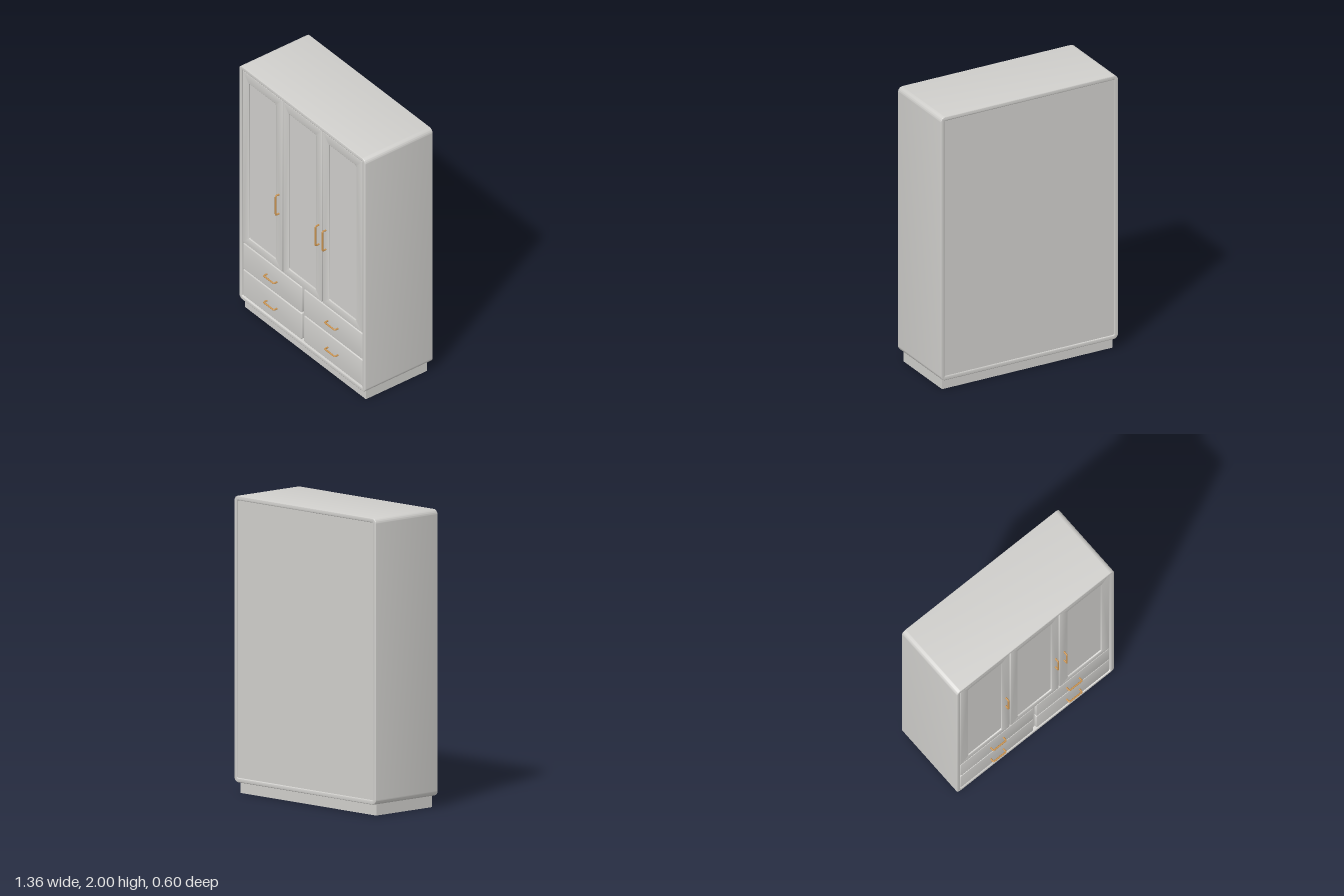
import * as THREE from 'three';
import { toCreasedNormals } from 'three/addons/utils/BufferGeometryUtils.js';

const paint = new THREE.MeshStandardMaterial({ color: 0xcfcecb });
paint.name = 'pale grey paint';
const brass = new THREE.MeshStandardMaterial({ color: 0xc8924f });
brass.name = 'brass';

// Rounded rectangle outline from corner to corner
function roundRect(path, x0, y0, x1, y1, r) {
  path.moveTo(x0 + r, y0);
  path.lineTo(x1 - r, y0);
  path.absarc(x1 - r, y0 + r, r, -Math.PI / 2, 0);
  path.lineTo(x1, y1 - r);
  path.absarc(x1 - r, y1 - r, r, 0, Math.PI / 2);
  path.lineTo(x0 + r, y1);
  path.absarc(x0 + r, y1 - r, r, Math.PI / 2, Math.PI);
  path.lineTo(x0, y0 + r);
  path.absarc(x0 + r, y0 + r, r, Math.PI, Math.PI * 1.5);
  return path;
}

// Bevelled board spanning z0..z1, with an optional opening
function board(name, outer, z0, z1, bevel, hole) {
  const shape = roundRect(new THREE.Shape(), ...outer);
  if (hole) shape.holes.push(roundRect(new THREE.Path(), ...hole));
  const geometry = new THREE.ExtrudeGeometry(shape, {
    depth: z1 - z0 - 2 * bevel, curveSegments: 8, bevelEnabled: true,
    bevelThickness: bevel, bevelSize: bevel, bevelOffset: -bevel, bevelSegments: 3,
  });
  geometry.translate(0, 0, z0 + bevel);
  const mesh = new THREE.Mesh(toCreasedNormals(geometry, 0.6), paint);
  mesh.name = name;
  return mesh;
}

function box(name, x0, x1, y0, y1, z0, z1) {
  const mesh = new THREE.Mesh(new THREE.BoxGeometry(x1 - x0, y1 - y0, z1 - z0), paint);
  mesh.position.set((x0 + x1) / 2, (y0 + y1) / 2, (z0 + z1) / 2);
  mesh.name = name;
  return mesh;
}

// Bent bar handle, horizontal unless turned upright
function handle(name, x, y, length, upright) {
  const h = length / 2 - 0.006, out = 0.031, r = 0.009;
  const v = (a, b) => new THREE.Vector3(a, 0, b);
  const path = new THREE.CurvePath();
  path.add(new THREE.LineCurve3(v(-h, -0.006), v(-h, out - r)));
  path.add(new THREE.QuadraticBezierCurve3(v(-h, out - r), v(-h, out), v(-h + r, out)));
  path.add(new THREE.LineCurve3(v(-h + r, out), v(h - r, out)));
  path.add(new THREE.QuadraticBezierCurve3(v(h - r, out), v(h, out), v(h, out - r)));
  path.add(new THREE.LineCurve3(v(h, out - r), v(h, -0.006)));
  const mesh = new THREE.Mesh(new THREE.TubeGeometry(path, 80, 0.006, 10), brass);
  mesh.position.set(x, y, 0.26);
  if (upright) mesh.rotation.z = Math.PI / 2;
  mesh.name = name;
  return mesh;
}

export function createModel() {
  const group = new THREE.Group();

  // Carcass, back and plinth
  group.add(board('carcass', [-0.68, 0.075, 0.68, 2, 0.035], -0.303, 0.267, 0.005,
    [-0.65, 0.105, 0.65, 1.97, 0.006]));
  group.add(box('backPanel', -0.652, 0.652, 0.103, 1.972, -0.296, -0.28));
  group.add(box('plinth', -0.653, 0.653, 0, 0.09, -0.272, 0.24));

  // Inner dividers behind the gaps
  group.add(box('shelf', -0.65, 0.65, 0.535, 0.56, -0.28, 0.235));
  group.add(box('drawerDivider', -0.012, 0.012, 0.105, 0.54, -0.28, 0.24));
  group.add(box('drawerRail', -0.65, 0.65, 0.32, 0.34, -0.28, 0.235));
  for (const x of [-0.216, 0.21]) {
    group.add(box('doorDivider', x - 0.009, x + 0.009, 0.55, 1.97, -0.28, 0.235));
  }

  // Doors with a sunken centre panel
  const doors = [
    { x0: -0.646, x1: -0.221, p0: -0.58, p1: -0.288, grip: -0.255 },
    { x0: -0.212, x1: 0.206, p0: -0.15, p1: 0.143, grip: 0.175 },
    { x0: 0.214, x1: 0.643, p0: 0.283, p1: 0.575, grip: 0.25 },
  ];
  for (const d of doors) {
    const door = new THREE.Group();
    door.name = 'door';
    door.add(board('doorFrame', [d.x0, 0.551, d.x1, 1.966, 0.004], 0.232, 0.262, 0.003,
      [d.p0, 0.615, d.p1, 1.895, 0.01]));
    door.add(box('doorPanel', d.p0 - 0.01, d.p1 + 0.01, 0.605, 1.905, 0.236, 0.252));
    door.add(handle('doorHandle', d.grip, 1.092, 0.17, true));
    group.add(door);
  }

  // Two rows of two drawers
  for (const [y0, y1, grip] of [[0.112, 0.325, 0.217], [0.333, 0.543, 0.436]]) {
    for (const [x0, x1, x] of [[-0.645, -0.014, -0.33], [0.012, 0.643, 0.327]]) {
      const drawer = new THREE.Group();
      drawer.name = 'drawer';
      drawer.add(board('drawerFront', [x0, y0, x1, y1, 0.01], 0.23, 0.262, 0.006));
      drawer.add(handle('drawerHandle', x, grip, 0.122, false));
      group.add(drawer);
    }
  }
  return group;
}
